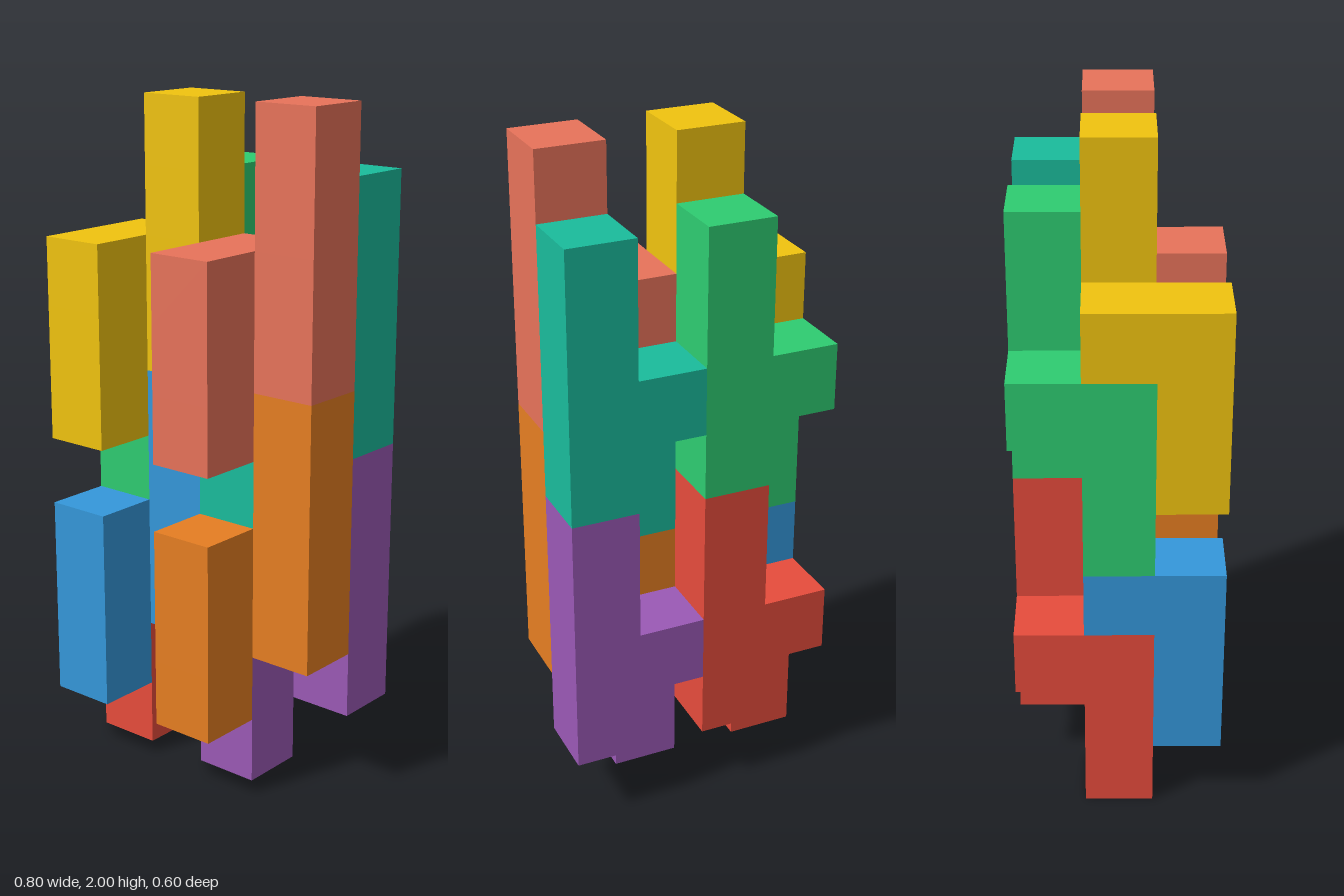
import * as THREE from 'three';
import { mergeGeometries, mergeVertices } from 'three/addons/utils/BufferGeometryUtils.js';

const UNIT = 0.2;

// Cells (x, y, z) of one interlocking piece: tall column, side arm, hanging foot
const CELLS = [
  [1, 1, 0], [1, 2, 0], [1, 3, 0], [1, 4, 0], // column
  [0, 2, 0],                                  // arm
  [0, 0, 1], [0, 1, 1], [0, 2, 1],            // foot
];

// Outward direction and the turn that points a plane that way
const SIDES = [
  [[0, 0, 1], 0, 0], [[0, 0, -1], 0, Math.PI],
  [[1, 0, 0], 0, Math.PI / 2], [[-1, 0, 0], 0, -Math.PI / 2],
  [[0, 1, 0], -Math.PI / 2, 0], [[0, -1, 0], Math.PI / 2, 0],
];

// Skin of the piece: only the cell faces that have no neighbour
function pieceGeometry() {
  const filled = new Set(CELLS.map(String));
  const faces = [];
  for (const cell of CELLS) {
    for (const [dir, rx, ry] of SIDES) {
      if (filled.has(String(cell.map((c, i) => c + dir[i])))) continue;
      const centre = cell.map((c, i) => (c + 0.5 + dir[i] / 2) * UNIT);
      const face = new THREE.PlaneGeometry(UNIT, UNIT).rotateX(rx).rotateY(ry).translate(...centre);
      face.deleteAttribute('uv');
      face.deleteAttribute('normal');
      faces.push(face);
    }
  }
  const skin = mergeVertices(mergeGeometries(faces), 1e-4);
  skin.computeVertexNormals();
  return skin;
}

export function createModel() {
  const model = new THREE.Group();
  model.name = 'interlockingBlocks';
  const geometry = pieceGeometry();

  // Name, colour and cell offset of each copy
  const pieces = [
    ['lowerBackRightPiece', 0xe74c3c, 0, 0, 0],
    ['lowerBackLeftPiece', 0x9b59b6, 2, 0, 0],
    ['lowerFrontRightPiece', 0x3498db, 0, 1, 1],
    ['lowerFrontLeftPiece', 0xe67e22, 2, 1, 1],
    ['upperBackRightPiece', 0x2ecc71, 0, 4, 0],
    ['upperBackLeftPiece', 0x1abc9c, 2, 4, 0],
    ['upperFrontRightPiece', 0xf1c40f, 0, 5, 1],
    ['upperFrontLeftPiece', 0xe8735a, 2, 5, 1],
  ];
  for (const [name, color, x, y, z] of pieces) {
    const piece = new THREE.Mesh(geometry, new THREE.MeshStandardMaterial({ color, flatShading: true }));
    piece.name = name;
    piece.position.set((x - 2) * UNIT, y * UNIT, (z - 1.5) * UNIT);
    model.add(piece);
  }
  return model;
}
